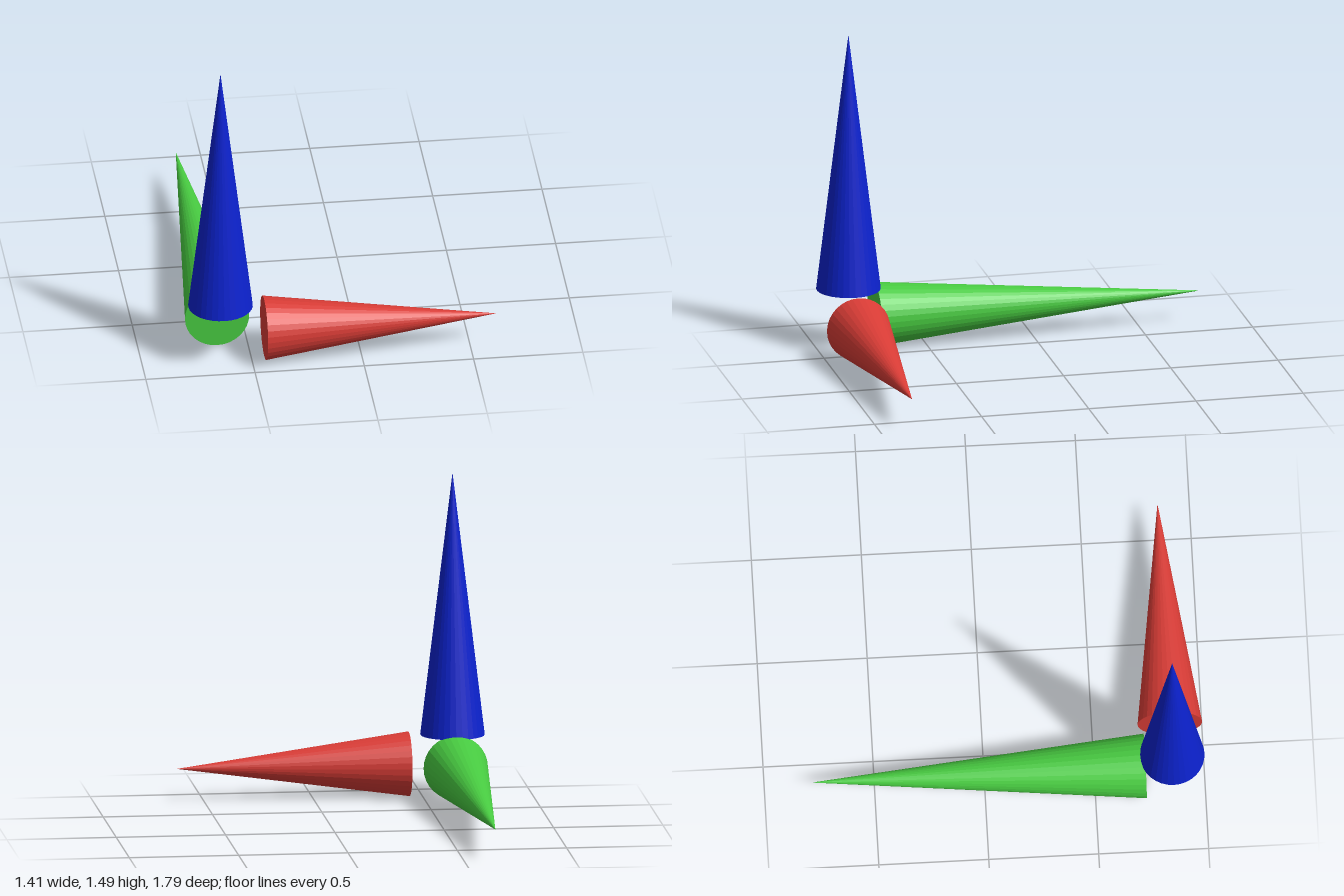
import * as THREE from 'three';

// Common corner that the three axis cones radiate from
const ORIGIN = new THREE.Vector3(-0.64, 0.148, 0.853);
const RADIUS = 0.147;
const UP = new THREE.Vector3(0, 1, 0);

// One capped cone pointing along dir, its base at distance start and its tip at distance end
function axisCone(name, color, dir, start, end) {
  const geometry = new THREE.ConeGeometry(RADIUS, end - start, 32);
  const material = new THREE.MeshStandardMaterial({ color, flatShading: true });
  const cone = new THREE.Mesh(geometry, material);
  cone.name = name;
  cone.quaternion.setFromUnitVectors(UP, dir);
  cone.position.copy(ORIGIN).addScaledVector(dir, (start + end) / 2);
  return cone;
}

export function createModel() {
  const model = new THREE.Group();
  model.name = 'axisMarker';
  model.add(
    axisCone('sidewaysAxisCone', 0xd93c36, new THREE.Vector3(1, 0, 0), 0.2, 1.262),
    axisCone('backwardAxisCone', 0x48cb41, new THREE.Vector3(0, 0, -1), 0.123, 1.64),
    axisCone('upwardAxisCone', 0x0c22d0, UP, 0.132, 1.342),
  );
  return model;
}
